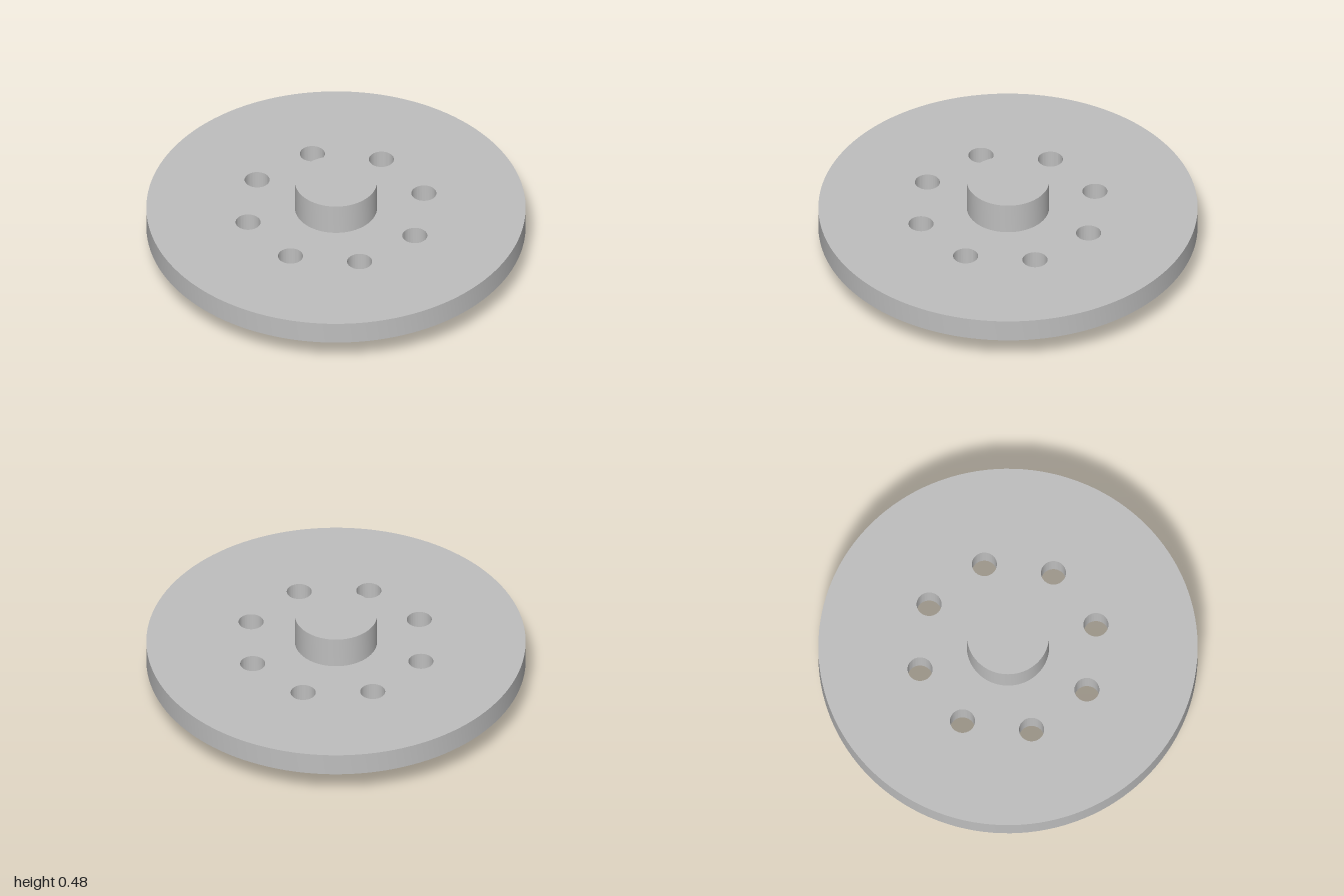
import * as THREE from 'three';
import { toCreasedNormals } from 'three/addons/utils/BufferGeometryUtils.js';

const RING_TOP = 0.18, PLATE_TOP = 0.305, HUB_TOP = 0.48;
const HOLES = 8, HOLE_RADIUS = 0.066, HOLE_CIRCLE = 0.48;

export function createModel() {
  const model = new THREE.Group();
  model.name = 'flangedDisc';
  const metal = new THREE.MeshStandardMaterial({ color: 0xbebebe });
  metal.name = 'grey metal';

  const add = (name, geometry) => {
    const mesh = new THREE.Mesh(toCreasedNormals(geometry, 0.6), metal);
    mesh.name = name;
    model.add(mesh);
    return mesh;
  };
  const lathe = (points) =>
    new THREE.LatheGeometry(points.map(([r, y]) => new THREE.Vector2(r, y)), 96);

  // Wide plate pierced by a circle of bolt holes
  const disc = new THREE.Shape().absarc(0, 0, 1, 0, Math.PI * 2, false);
  for (let i = 0; i < HOLES; i++) {
    const a = (i / HOLES) * Math.PI * 2;
    disc.holes.push(new THREE.Path().absarc(
      Math.cos(a) * HOLE_CIRCLE, Math.sin(a) * HOLE_CIRCLE, HOLE_RADIUS, 0, Math.PI * 2, true));
  }
  const plate = new THREE.ExtrudeGeometry(disc, {
    depth: PLATE_TOP - RING_TOP, bevelEnabled: false, curveSegments: 64,
  });
  plate.rotateX(-Math.PI / 2);
  add('plate', plate).position.y = RING_TOP;

  // Thin-walled ring under the plate, open at the bottom
  add('lowerRing', lathe([[0.67, RING_TOP], [0.67, 0], [0.75, 0], [0.75, RING_TOP]]));

  // Solid hub on top
  add('hub', lathe([[0.217, PLATE_TOP], [0.217, HUB_TOP], [0, HUB_TOP]]));

  return model;
}
